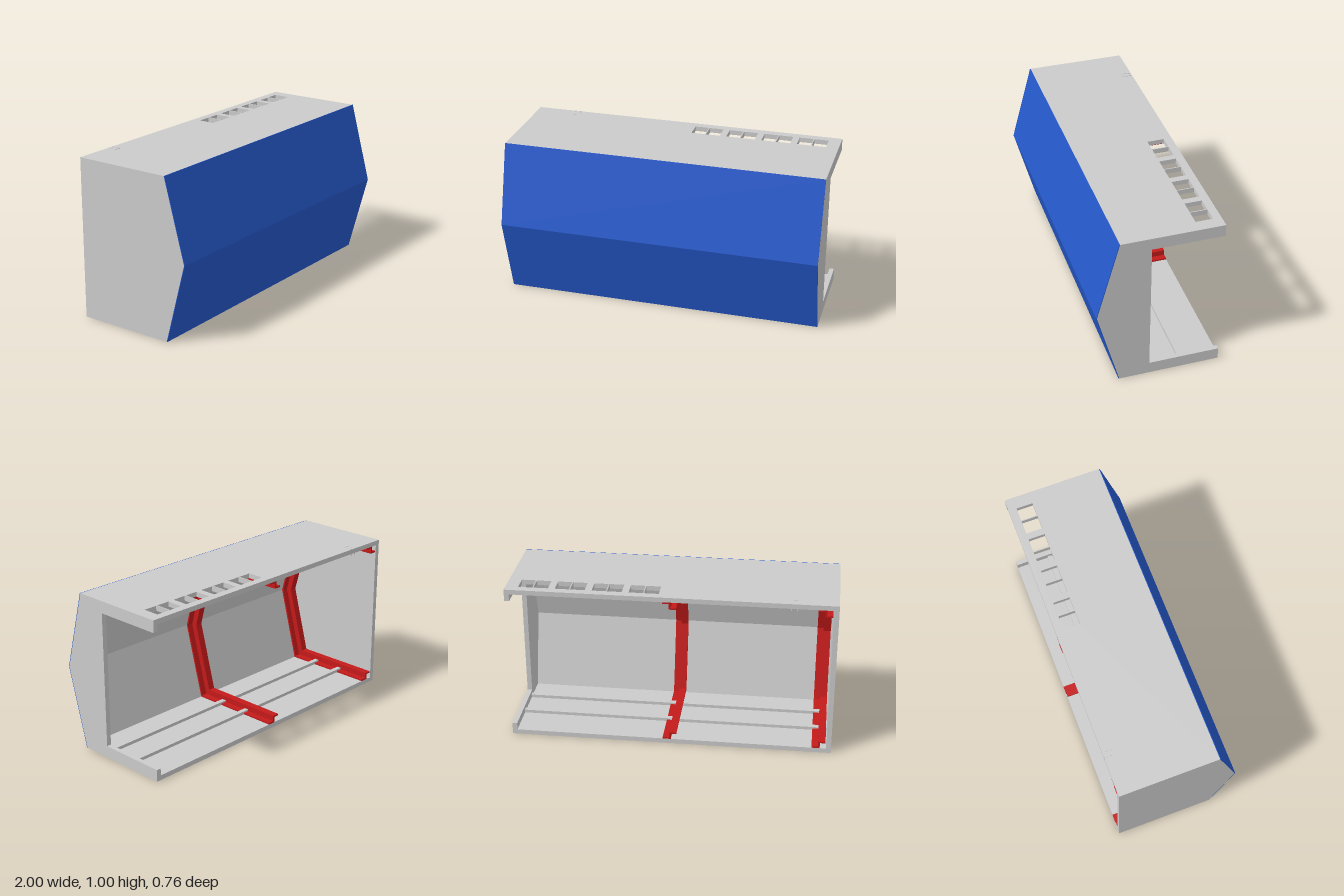
import * as THREE from 'three';

const grey = new THREE.MeshStandardMaterial({ color: 0xcccccc, flatShading: true });
const blue = new THREE.MeshStandardMaterial({ color: 0x2659cc, flatShading: true });
const red = new THREE.MeshStandardMaterial({ color: 0xc41a1a, flatShading: true });

const BACK = -0.38, WALL = 0.03, SKIN = 0.004;

const polygon = pts => new THREE.Shape(pts.map(([a, b]) => new THREE.Vector2(a, b)));
const rect = (a0, b0, a1, b1) => [[a0, b0], [a1, b0], [a1, b1], [a0, b1]];

// Half-hexagon outline (z, y), moved inward by d
const outline = d => [
  [BACK, d], [0.245 - 0.766 * d, d], [0.38 - 1.036 * d, 0.5], [0.245 - 0.766 * d, 1 - d], [BACK, 1 - d],
];
// Band between two inset outlines
const band = (d0, d1) => polygon([...outline(d0), ...outline(d1).reverse()]);

export function createModel() {
  const model = new THREE.Group();

  function add(parent, name, geometry, material = grey) {
    const mesh = new THREE.Mesh(geometry, material);
    mesh.name = name;
    parent.add(mesh);
    return mesh;
  }
  // Extrude a (z, y) section along x
  function section(parent, name, shape, x0, x1, material) {
    const g = new THREE.ExtrudeGeometry(shape, { depth: x1 - x0, bevelEnabled: false });
    g.rotateY(-Math.PI / 2).translate(x1, 0, 0);
    return add(parent, name, g, material);
  }
  // Extrude an (x, -z) plan upwards
  function slab(parent, name, shape, y0, y1, material) {
    const g = new THREE.ExtrudeGeometry(shape, { depth: y1 - y0, bevelEnabled: false });
    g.rotateX(-Math.PI / 2).translate(0, y0, 0);
    return add(parent, name, g, material);
  }

  // Floor and folded front wall
  const inner = outline(WALL);
  section(model, 'floorAndFrontWall', polygon([
    [BACK, 0], [0.241, 0], [0.376, 0.5], [0.241, 1], [inner[3][0], 1],
    inner[3], inner[2], inner[1], inner[0],
  ]), -1 + WALL, 1 - WALL);

  // Two-facet blue front panel
  section(model, 'frontPanel', polygon([
    [0.241, 0], [0.245, 0], [0.38, 0.5], [0.245, 1], [0.241, 1], [0.376, 0.5],
  ]), -1, 1, blue);

  // End walls: solid on the right, large doorway on the left
  const o = [[BACK, 0], [0.241, 0], [0.376, 0.5], [0.241, 1], [BACK, 1]];
  section(model, 'rightEndWall', polygon(o), -1, -1 + WALL);
  section(model, 'leftEndWall', polygon([
    ...o, [BACK, 0.925], [0.055, 0.925], [0.055, 0.075], [BACK, 0.075],
  ]), 1 - WALL, 1);

  // Roof with four divided windows
  const roof = polygon(rect(-1 + WALL, -inner[3][0], 1 - WALL, -BACK));
  for (let i = 0; i < 4; i++) {
    const x = 0.16 + i * 0.2237;
    roof.holes.push(new THREE.Path(
      rect(x - 0.091, 0.225, x + 0.091, 0.33).reverse().map(p => new THREE.Vector2(...p))));
    const bar = add(model, 'windowDivider', new THREE.BoxGeometry(0.006, 0.032, 0.105));
    bar.position.set(x, 0.986, -0.2775);
  }
  slab(model, 'roof', roof, 1 - WALL, 1);

  // Small U-shaped rim at the back edge of the roof
  slab(model, 'roofSlotRim', polygon([
    [-0.757, 0.38], [-0.757, 0.318], [-0.718, 0.318], [-0.718, 0.38],
    [-0.723, 0.38], [-0.723, 0.323], [-0.752, 0.323], [-0.752, 0.38],
  ]), 0.955, 1.002);

  // Long stringers on the floor and under the roof
  for (const z of [-0.15, 0.05]) {
    for (const y of [WALL + 0.01, 1 - WALL - 0.01]) {
      const rail = add(model, 'stringer', new THREE.BoxGeometry(2 - 2 * WALL, 0.02, 0.03));
      rail.position.set(0, y, z);
    }
  }

  // Red Z-section ribs following the inner outline
  for (const x of [0, -0.925]) {
    const rib = new THREE.Group();
    rib.name = 'rib';
    model.add(rib);
    section(rib, 'ribBaseFlange', band(WALL, WALL + 0.01), x, x + 0.045, red);
    section(rib, 'ribWeb', band(WALL, 0.076), x - 0.006, x + 0.006, red);
    section(rib, 'ribInnerFlange', band(0.066, 0.076), x - 0.04, x, red);
  }

  return model;
}
